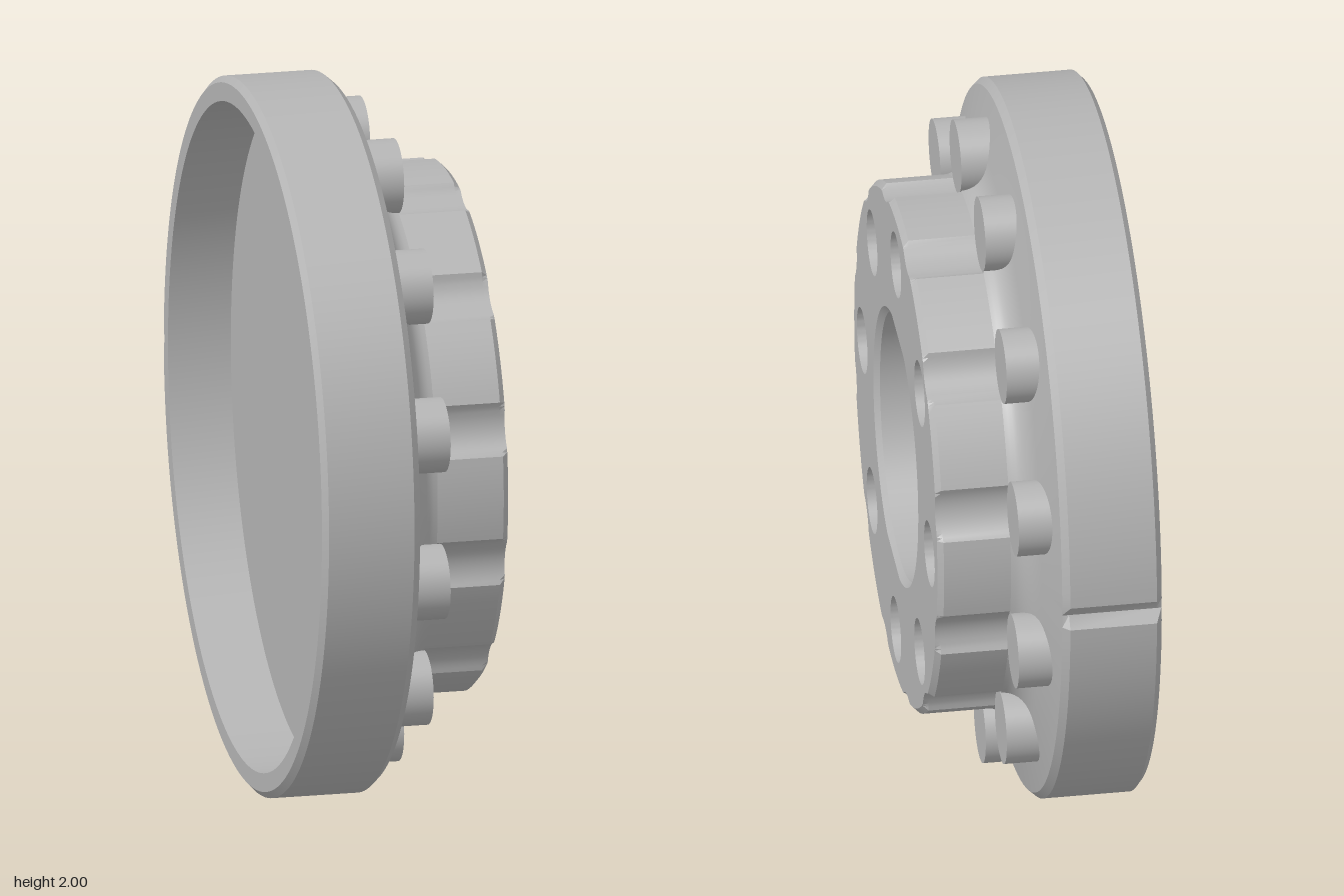
import * as THREE from 'three';
import { toCreasedNormals } from 'three/addons/utils/BufferGeometryUtils.js';

const HUB_R = 0.74, BORE_R = 0.375;
const PIN_CIRCLE = 0.817, SCALLOP_R = 0.11, PIN_R = 0.104, PINS = 12;
const HOLE_CIRCLE = 0.585, HOLE_R = 0.093, HOLES = 8;
const END = 0.293, CHAMFER = 0.016;

// Dished flange with a shallow cone, a fillet up to the hub and one rim notch
function flangeGeometry() {
  const v = (r, x) => new THREE.Vector2(r, x);
  const fillet = new THREE.QuadraticBezierCurve(v(0.83, 0.018), v(0.745, 0.038), v(HUB_R, 0.09));
  const profile = [
    v(0, -0.115), v(0.93, -0.115), v(0.93, -END), v(0.982, -END),
    v(1, -0.277), v(1, -0.035), v(0.982, -0.015),
    ...fillet.getPoints(8),
    v(0.7, 0.088), v(0.69, 0.04), v(0, 0.04), // floor of bore and holes
  ];
  const segments = 180;
  const geo = new THREE.LatheGeometry(profile, segments);
  const pos = geo.attributes.position;
  const notchColumn = segments / 2;
  for (let j = 0; j < profile.length; j++) {
    if (profile[j].x < 0.95) continue;
    const i = notchColumn * profile.length + j;
    pos.setZ(i, -0.974);
  }
  geo.rotateZ(-Math.PI / 2);
  return toCreasedNormals(geo, 0.5);
}

// Scalloped hub with a ring of holes and a central bore
function hubGeometry() {
  const shape = new THREE.Shape();
  const pts = [];
  const half = Math.acos((HUB_R ** 2 + PIN_CIRCLE ** 2 - SCALLOP_R ** 2) / (2 * HUB_R * PIN_CIRCLE));
  const step = (Math.PI * 2) / PINS;
  // half opening of the scallop arc, measured at the pin centre
  const open = Math.atan2(HUB_R * Math.sin(half), PIN_CIRCLE - HUB_R * Math.cos(half));
  for (let k = 0; k < PINS; k++) {
    const a = (k + 0.5) * step;
    const cx = PIN_CIRCLE * Math.cos(a), cy = PIN_CIRCLE * Math.sin(a);
    for (let i = 0; i <= 12; i++) {
      const t = a + Math.PI + open * (1 - i / 6);
      pts.push(new THREE.Vector2(cx + SCALLOP_R * Math.cos(t), cy + SCALLOP_R * Math.sin(t)));
    }
    for (let i = 1; i < 10; i++) {
      const t = a + half + (step - 2 * half) * (i / 10);
      pts.push(new THREE.Vector2(HUB_R * Math.cos(t), HUB_R * Math.sin(t)));
    }
  }
  shape.setFromPoints(pts);

  const addHole = (x, y, r) => {
    const path = new THREE.Path();
    path.absarc(x, y, r, 0, Math.PI * 2, true);
    shape.holes.push(path);
  };
  addHole(0, 0, BORE_R);
  for (let k = 0; k < HOLES; k++) {
    const a = (k / HOLES) * Math.PI * 2;
    addHole(HOLE_CIRCLE * Math.cos(a), HOLE_CIRCLE * Math.sin(a), HOLE_R);
  }

  const geo = new THREE.ExtrudeGeometry(shape, { depth: END, steps: 2, bevelEnabled: false, curveSegments: 40 });
  // Middle ring becomes the chamfer start; front ring is pulled in at the rim and out at the bore
  const pos = geo.attributes.position;
  for (let i = 0; i < pos.count; i++) {
    const x = pos.getX(i), y = pos.getY(i), z = pos.getZ(i);
    if (z > END * 0.9) {
      const r = Math.hypot(x, y);
      const target = r < 0.4 ? BORE_R + CHAMFER : Math.min(r, HUB_R - CHAMFER);
      pos.setXY(i, (x * target) / r, (y * target) / r);
    } else if (z > END * 0.1) {
      pos.setZ(i, END - CHAMFER);
    }
  }
  geo.rotateY(Math.PI / 2);
  return toCreasedNormals(geo, 0.5);
}

export function createModel() {
  const model = new THREE.Group();
  model.name = 'wheelHub';
  const steel = new THREE.MeshStandardMaterial({ color: 0xb4b4b4 });
  steel.name = 'grey steel';

  const add = (name, geo, x = 0, y = 1, z = 0) => {
    const mesh = new THREE.Mesh(geo, steel);
    mesh.name = name;
    mesh.position.set(x, y, z);
    model.add(mesh);
  };

  add('flange', flangeGeometry());
  add('hub', hubGeometry());

  // Ring of pins seated in the scallops
  const pinBase = -0.03, pinTop = 0.092;
  const pin = new THREE.CylinderGeometry(PIN_R, PIN_R, pinTop - pinBase, 40);
  pin.rotateZ(-Math.PI / 2);
  for (let k = 0; k < PINS; k++) {
    const a = ((k + 0.5) / PINS) * Math.PI * 2;
    add('pin' + (k + 1), pin, (pinTop + pinBase) / 2, 1 + PIN_CIRCLE * Math.sin(a), PIN_CIRCLE * Math.cos(a));
  }
  return model;
}
